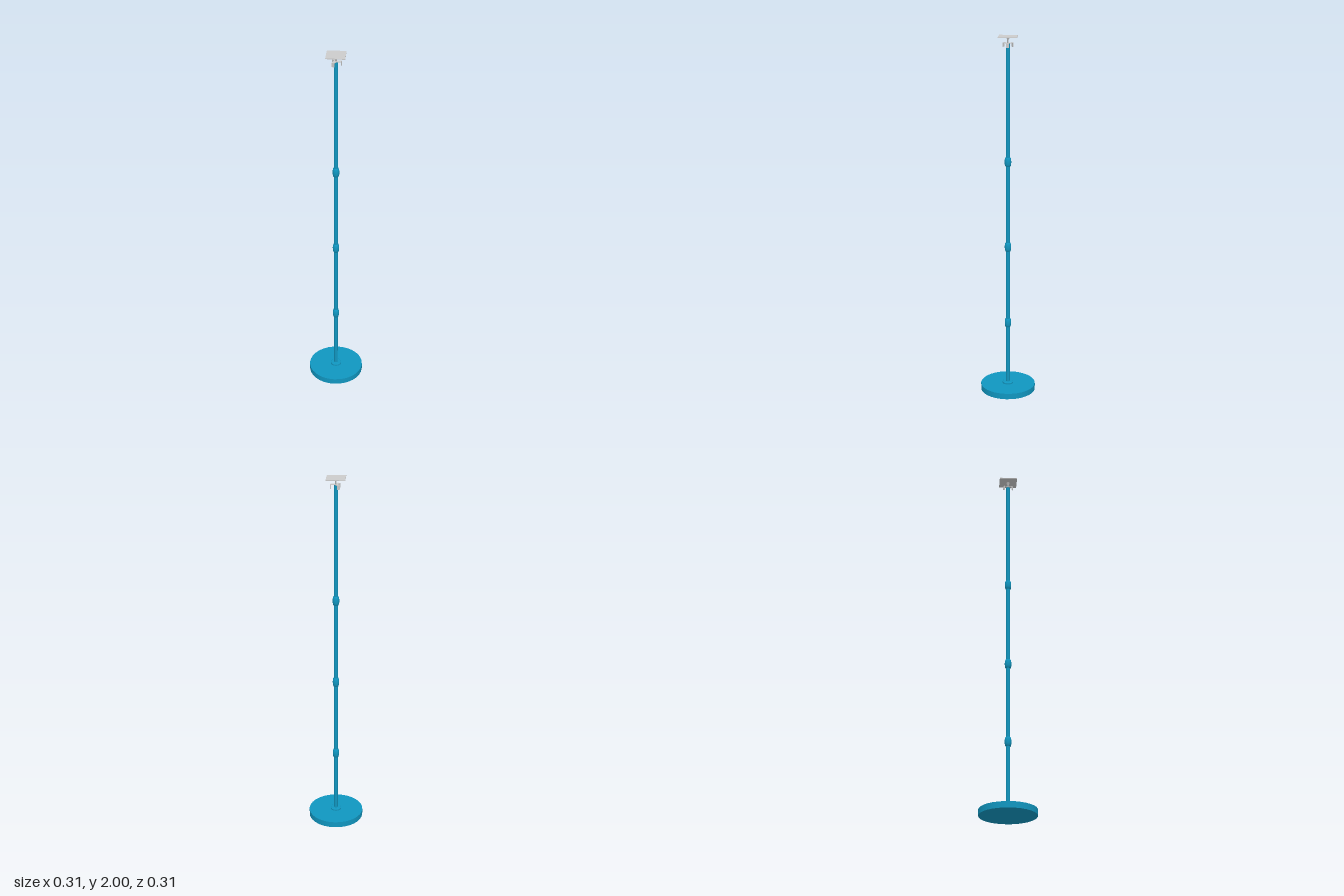
import * as THREE from 'three';

export function createModel() {
  const model = new THREE.Group();
  const blue = new THREE.MeshStandardMaterial({ color: 0x1096c0 });
  const blueFlat = new THREE.MeshStandardMaterial({ color: 0x1096c0, flatShading: true });
  const grey = new THREE.MeshStandardMaterial({ color: 0xcccccc });

  function add(name, geometry, material, x = 0, y = 0, z = 0, parent = model) {
    const mesh = new THREE.Mesh(geometry, material);
    mesh.name = name;
    mesh.position.set(x, y, z);
    parent.add(mesh);
    return mesh;
  }
  const lathe = (points, sides) =>
    new THREE.LatheGeometry(points.map(([r, y]) => new THREE.Vector2(r, y)), sides);

  // Round foot and the hub that holds the pole
  add('base', new THREE.CylinderGeometry(0.153, 0.153, 0.033, 32), blue, 0, 0.0165);
  add('baseHub', lathe([[0.03, 0], [0.03, 0.008], [0.026, 0.011], [0, 0.011]], 32), blueFlat, 0, 0.033);

  // Telescopic pole: sections meet inside the collars
  const collars = [0.4, 0.845, 1.325];
  const ends = [0.033, ...collars, 1.962];
  for (let i = 0; i < ends.length - 1; i++) {
    const length = ends[i + 1] - ends[i];
    add('poleSection', new THREE.CylinderGeometry(0.0105, 0.0105, length, 24), blue, 0, ends[i] + length / 2);
  }

  // Rounded clamp collars
  const collarProfile = [
    [0.0105, -0.025], [0.0145, -0.024], [0.0175, -0.012], [0.018, 0],
    [0.0175, 0.012], [0.0145, 0.024], [0.0105, 0.025],
  ];
  for (const y of collars) add('collar', lathe(collarProfile, 24), blue, 0, y);

  // Three-legged claw at the top of the pole
  for (let i = 0; i < 3; i++) {
    const claw = new THREE.Group();
    claw.name = 'claw';
    claw.position.y = 1.964;
    claw.rotation.y = (i * Math.PI * 2) / 3;
    add('clawArm', new THREE.BoxGeometry(0.029, 0.003, 0.016), grey, 0.0145, 0, 0, claw);
    add('clawLeg', new THREE.BoxGeometry(0.003, 0.022, 0.016), grey, 0.0275, -0.0105, 0, claw);
    model.add(claw);
  }

  // Swivel stem flaring out under the square plate
  add('swivelStem', lathe([[0, 0], [0.004, 0], [0.004, 0.018], [0.012, 0.033]], 20), grey, 0, 1.964);
  add('topPlate', new THREE.BoxGeometry(0.1, 0.004, 0.1), grey, 0, 1.998);

  return model;
}
